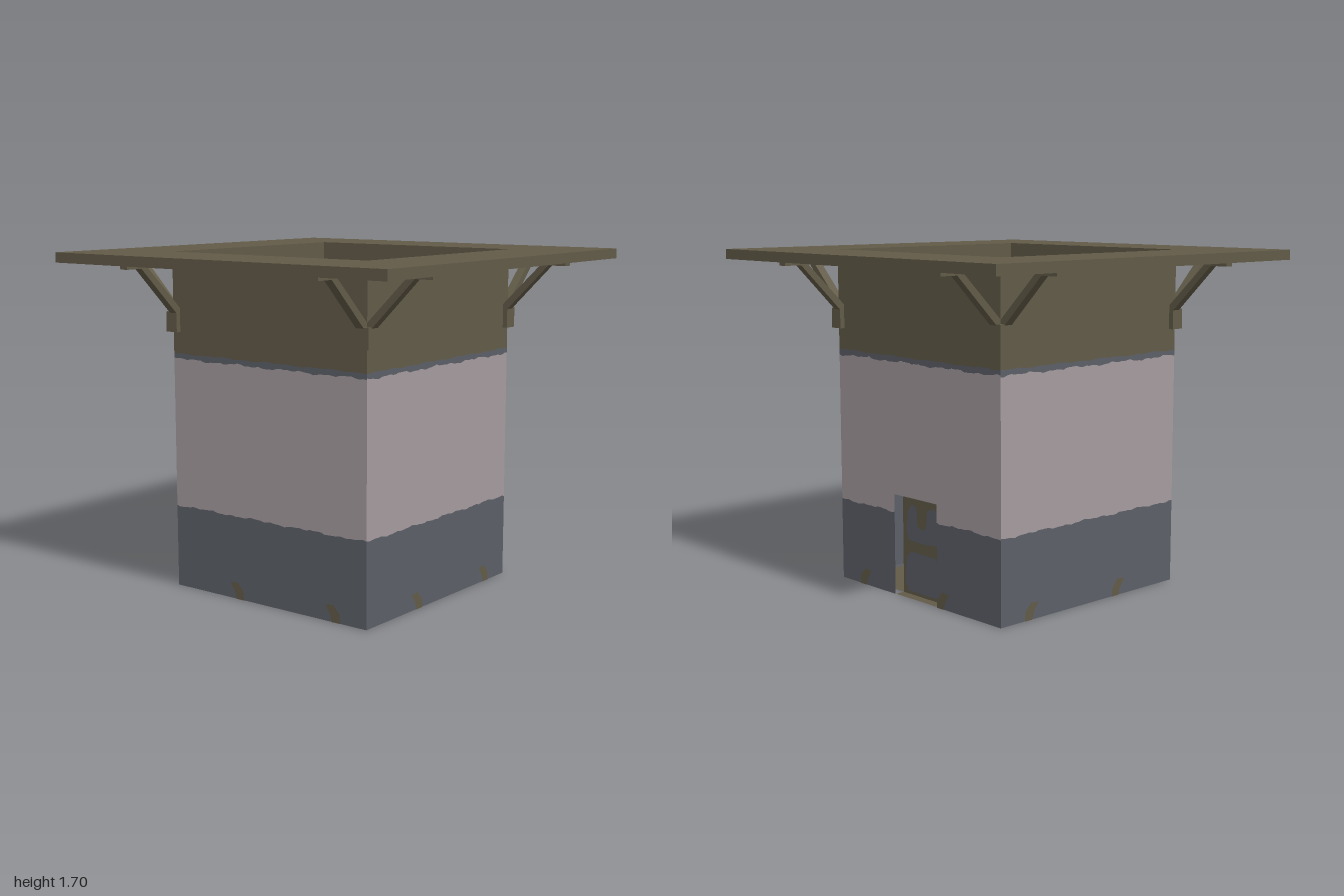
import * as THREE from 'three';

const make = (name, color) => new THREE.MeshStandardMaterial({ name, color, side: THREE.DoubleSide });

export function createModel() {
  const olive = make('olive metal', 0x625b48);
  const blue = make('slate blue paint', 0x5c6068);
  const mauve = make('pale mauve paint', 0xa69ca0);
  const model = new THREE.Group();
  const HALF = 0.6, INNER = 0.55;

  const add = (parent, name, geometry, material) => {
    const mesh = new THREE.Mesh(geometry, material);
    mesh.name = name;
    parent.add(mesh);
    return mesh;
  };
  const polygon = pts => new THREE.Shape(pts.map(p => new THREE.Vector2(p[0], p[1])));
  const rect = (x0, y0, x1, y1) => polygon([[x0, y0], [x1, y0], [x1, y1], [x0, y1]]);

  // Ragged paint edge at a given height
  const ragged = (base, seed, amp) => u =>
    base + amp * (Math.sin(u * 19 + seed) * 0.4 + Math.sin(u * 47 + seed * 2) * 0.4 + Math.sin(u * 101) * 0.3);
  const flat = y => () => y;

  // Strip of wall between two edge functions
  const strip = (lo, hi, u0, u1) => {
    const n = Math.max(4, Math.round((u1 - u0) * 45));
    const bottom = [], top = [];
    for (let i = 0; i <= n; i++) {
      const u = u0 + (u1 - u0) * i / n;
      bottom.push([u, lo(u)]);
      top.unshift([u, hi(u)]);
    }
    return new THREE.ShapeGeometry(polygon(bottom.concat(top)));
  };

  // Four painted walls; the left one (+x) has the doorway
  const DOOR = [-0.17, 0.15, 0.51];
  const sides = ['front', 'left', 'back', 'right'];
  sides.forEach((side, k) => {
    const wall = new THREE.Group();
    wall.name = side + 'Wall';
    wall.rotation.y = k * Math.PI / 2;
    model.add(wall);
    const low = ragged(0.42, k, 0.007), mid = ragged(1.17, k + 2, 0.008), high = ragged(1.197, k + 4, 0.005);
    const put = (name, mat, lo, hi, u0 = -HALF, u1 = HALF) => {
      add(wall, name, strip(lo, hi, u0, u1), mat).position.z = HALF;
    };
    const spans = k === 1 ? [[-HALF, DOOR[0]], [DOOR[1], HALF]] : [[-HALF, HALF]];
    for (const [a, b] of spans) {
      put('lowerBand', blue, flat(0), low, a, b);
      put('middleBand', mauve, low, mid, a, b);
    }
    if (k === 1) put('bandAboveDoor', mauve, flat(DOOR[2]), mid, DOOR[0], DOOR[1]);
    put('paintEdge', blue, mid, high);
    put('upperBand', olive, high, flat(1.65));

    // Worn patches along the foot of the wall
    const flip = k === 1 || k === 2 ? -1 : 1;
    for (const c of [-0.2, 0.4]) {
      const pts = [[-0.04, 0.08], [0.01, 0.085], [0.045, 0.045], [0.05, 0], [0, 0], [-0.01, 0.035]];
      const shape = polygon(pts.map(([x, y]) => [flip * (c + x), y]));
      add(wall, 'wornPatch', new THREE.ShapeGeometry(shape), olive).position.z = HALF + 0.003;
    }
  });

  // Floor with a threshold tab reaching the doorway
  const floor = add(model, 'floor', new THREE.ShapeGeometry(polygon([
    [-INNER, -INNER], [INNER, -INNER], [INNER, -0.165], [HALF, -0.165],
    [HALF, 0.14], [INNER, 0.14], [INNER, INNER], [-INNER, INNER]])), olive);
  floor.rotation.x = -Math.PI / 2;
  floor.position.y = 0.002;

  // Recessed deck with a square hatch
  const deckShape = rect(-INNER, -INNER, INNER, INNER);
  deckShape.holes.push(rect(-0.455, 0.055, -0.065, 0.455));
  const deck = add(model, 'deck', new THREE.ShapeGeometry(deckShape), olive);
  deck.rotation.x = -Math.PI / 2;
  deck.position.y = 1.6;

  // Overhanging roof ring
  const roofShape = rect(-1, -1, 1, 1);
  roofShape.holes.push(rect(-HALF, -HALF, HALF, HALF));
  const roof = add(model, 'roof', new THREE.ExtrudeGeometry(roofShape, { depth: 0.05, bevelEnabled: false }), olive);
  roof.rotation.x = -Math.PI / 2;
  roof.position.y = 1.65;

  // Recessed door with painted panels
  const door = new THREE.Group();
  door.name = 'door';
  door.rotation.y = Math.PI / 2;
  door.position.x = INNER;
  model.add(door);
  add(door, 'doorPanel', new THREE.ShapeGeometry(rect(-0.165, 0, 0.14, 0.5)), olive);
  const upper = polygon([[-0.12, 0.28], [0, 0.275], [0.1, 0.285], [0.115, 0.33], [0.1, 0.45], [0.07, 0.465],
    [0.025, 0.45], [0.015, 0.36], [-0.015, 0.345], [-0.05, 0.36], [-0.055, 0.45], [-0.09, 0.465], [-0.12, 0.43], [-0.135, 0.33]]);
  const lower = polygon([[-0.12, 0.02], [0.09, 0.02], [0.115, 0.06], [0.11, 0.18], [0.085, 0.22],
    [-0.1, 0.225], [-0.135, 0.19], [-0.145, 0.06]]);
  for (const [name, s] of [['upperDoorPaint', upper], ['lowerDoorPaint', lower]])
    add(door, name, new THREE.ShapeGeometry(s), blue).position.z = 0.004;

  // Corner brackets: a block and two struts carrying the roof
  const strutGeo = new THREE.ExtrudeGeometry(polygon([[0.6, 1.4], [0.625, 1.4], [0.855, 1.63], [0.95, 1.63],
    [0.95, 1.65], [0.83, 1.65], [0.6, 1.425]]), { depth: 0.045, bevelEnabled: false });
  const blockGeo = new THREE.BoxGeometry(0.07, 0.1, 0.07);
  for (let k = 0; k < 4; k++) {
    const bracket = new THREE.Group();
    bracket.name = 'cornerBracket';
    bracket.rotation.y = k * Math.PI / 2;
    model.add(bracket);
    add(bracket, 'bracketBlock', blockGeo, olive).position.set(0.59, 1.355, 0.59);
    add(bracket, 'strut', strutGeo, olive).position.z = 0.555;
    const second = add(bracket, 'strut', strutGeo, olive);
    second.rotation.y = -Math.PI / 2;
    second.position.x = 0.6;
  }
  return model;
}
